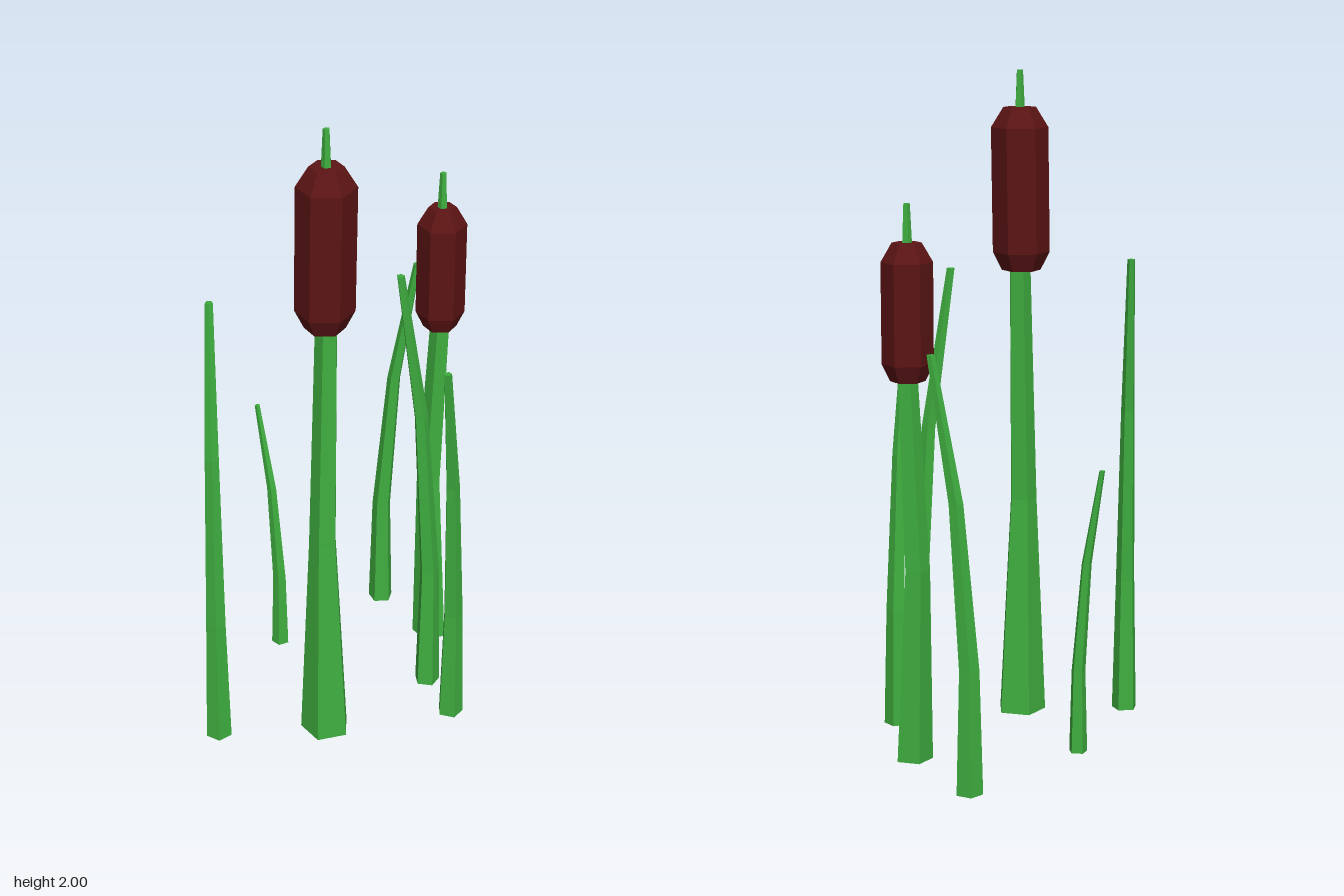
import * as THREE from 'three';

const green = new THREE.MeshStandardMaterial({ color: 0x3fae3f, flatShading: true });
const brown = new THREE.MeshStandardMaterial({ color: 0x5c1414, flatShading: true });

// Closed prism through sections [x, y, z, radius], listed from bottom to top
function stalk(name, sections, sides, phase, material) {
  const last = sections.length - 1;
  const geo = new THREE.CylinderGeometry(1, 1, 1, sides, last, false, phase);
  const pos = geo.attributes.position;
  for (let i = 0; i < pos.count; i++) {
    const [x, y, z, r] = sections[Math.round((pos.getY(i) + 0.5) * last)];
    pos.setXYZ(i, x + pos.getX(i) * r, y, z + pos.getZ(i) * r);
  }
  geo.computeVertexNormals();
  const mesh = new THREE.Mesh(geo, material);
  mesh.name = name;
  return mesh;
}

// Leaf blade that rises almost straight, then leans from its base to its tip
function blade(name, [bx, bz], [tx, tz], y0, y1, r) {
  const steps = [[0, 0, 1], [0.29, 0, 0.76], [0.67, 0.34, 0.54], [1, 1, 0.3]];
  const sections = steps.map(([h, lean, w]) => [
    bx + (tx - bx) * lean, y0 + (y1 - y0) * h, bz + (tz - bz) * lean, r * w,
  ]);
  const phase = Math.atan2(tx - bx, tz - bz) + 0.7;
  return stalk(name, sections, 5, phase, green);
}

// Stem, seed head and the thin spike above it
function cattail(name, stem, head, r, levels, tipY) {
  const group = new THREE.Group();
  group.name = name;
  const [[x0, z0], [x1, z1]] = head;
  const [a, b, c, d] = levels;
  group.add(stalk('stem', stem, 5, 0.4, green));
  group.add(stalk('seedHead', [
    [x0, a, z0, r * 0.68], [x0, b, z0, r], [x1, c, z1, r], [x1, d, z1, r * 0.57],
  ], 6, 0, brown));
  group.add(stalk('spike', [[x1, d - 0.02, z1, 0.016], [x1, tipY, z1, 0.01]], 5, 0.4, green));
  return group;
}

export function createModel() {
  const model = new THREE.Group();
  model.name = 'cattails';

  model.add(cattail('tallCattail',
    [[-0.14, 0.01, 0.19, 0.077], [-0.147, 0.69, 0.19, 0.043], [-0.133, 1.42, 0.188, 0.034]],
    [[-0.138, 0.184], [-0.132, 0.184]], 0.086, [1.4, 1.455, 1.83, 1.89], 2));
  model.add(cattail('shortCattail',
    [[0.397, 0.025, -0.062, 0.057], [0.393, 0.6, -0.082, 0.039], [0.408, 1.17, -0.062, 0.031]],
    [[0.403, -0.06], [0.403, -0.06]], 0.074, [1.15, 1.2, 1.49, 1.545], 1.655));

  model.add(blade('rightBlade', [-0.437, 0.045], [-0.383, -0.045], 0, 1.44, 0.04));
  model.add(blade('leftBlade', [0.264, 0.13], [0.172, 0.083], 0, 1.44, 0.04));
  model.add(blade('frontBlade', [0.24, 0.305], [0.155, 0.37], 0, 1.26, 0.04));
  model.add(blade('backBlade', [0.378, -0.343], [0.45, -0.266], 0, 1.26, 0.04));
  model.add(blade('smallBlade', [-0.05, -0.262], [-0.085, -0.327], 0.02, 0.88, 0.028));

  return model;
}
